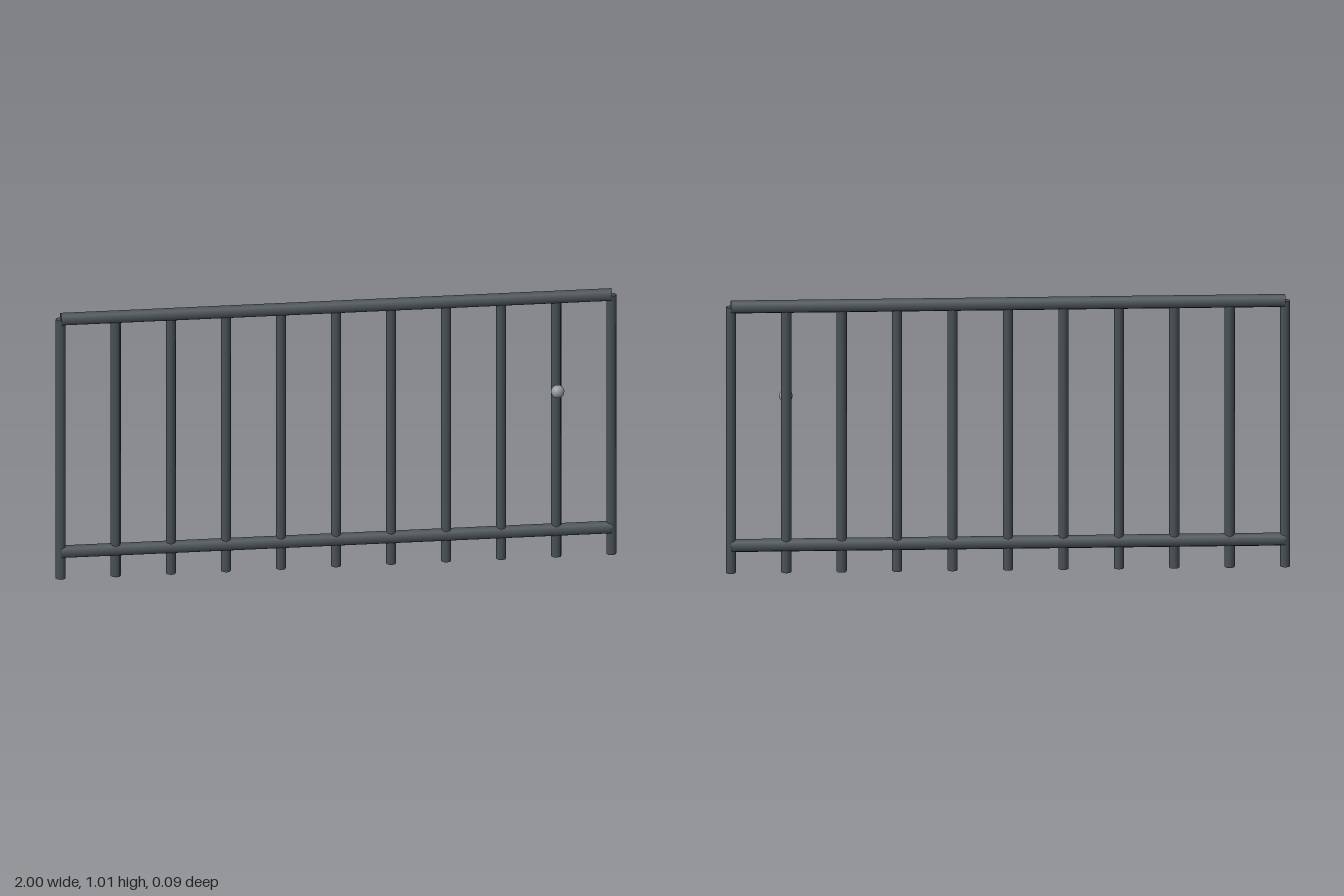
import * as THREE from 'three';

export function createModel() {
  const model = new THREE.Group();
  model.name = 'railing';

  const iron = new THREE.MeshStandardMaterial({ color: 0x4a5256 });
  iron.name = 'dark iron';
  const steel = new THREE.MeshStandardMaterial({ color: 0x959aa1 });
  steel.name = 'light steel';

  const Z = -0.019, HALF = 0.982, TOP = 0.984, BARS = 11;

  const add = (name, geometry, material, x, y, z) => {
    const mesh = new THREE.Mesh(geometry, material);
    mesh.name = name;
    mesh.position.set(x, y, z);
    model.add(mesh);
  };

  // Evenly spaced uprights, the outer two being the end posts
  const barGeometry = new THREE.CylinderGeometry(0.018, 0.018, TOP, 8);
  for (let i = 0; i < BARS; i++) {
    const end = i === 0 || i === BARS - 1;
    const x = -HALF + (2 * HALF * i) / (BARS - 1);
    add(end ? 'endPost' : 'bar', barGeometry, iron, x, TOP / 2, Z);
  }

  // Horizontal rails
  const railGeometry = new THREE.CylinderGeometry(0.024, 0.024, 2 * HALF, 8).rotateZ(Math.PI / 2);
  add('topRail', railGeometry, iron, 0, TOP, Z);
  add('bottomRail', railGeometry, iron, 0, 0.1, Z);

  // Small ball knob on the front of one bar
  add('knob', new THREE.SphereGeometry(0.024, 16, 12), steel, HALF * 0.8, 0.64, 0.021);

  return model;
}
